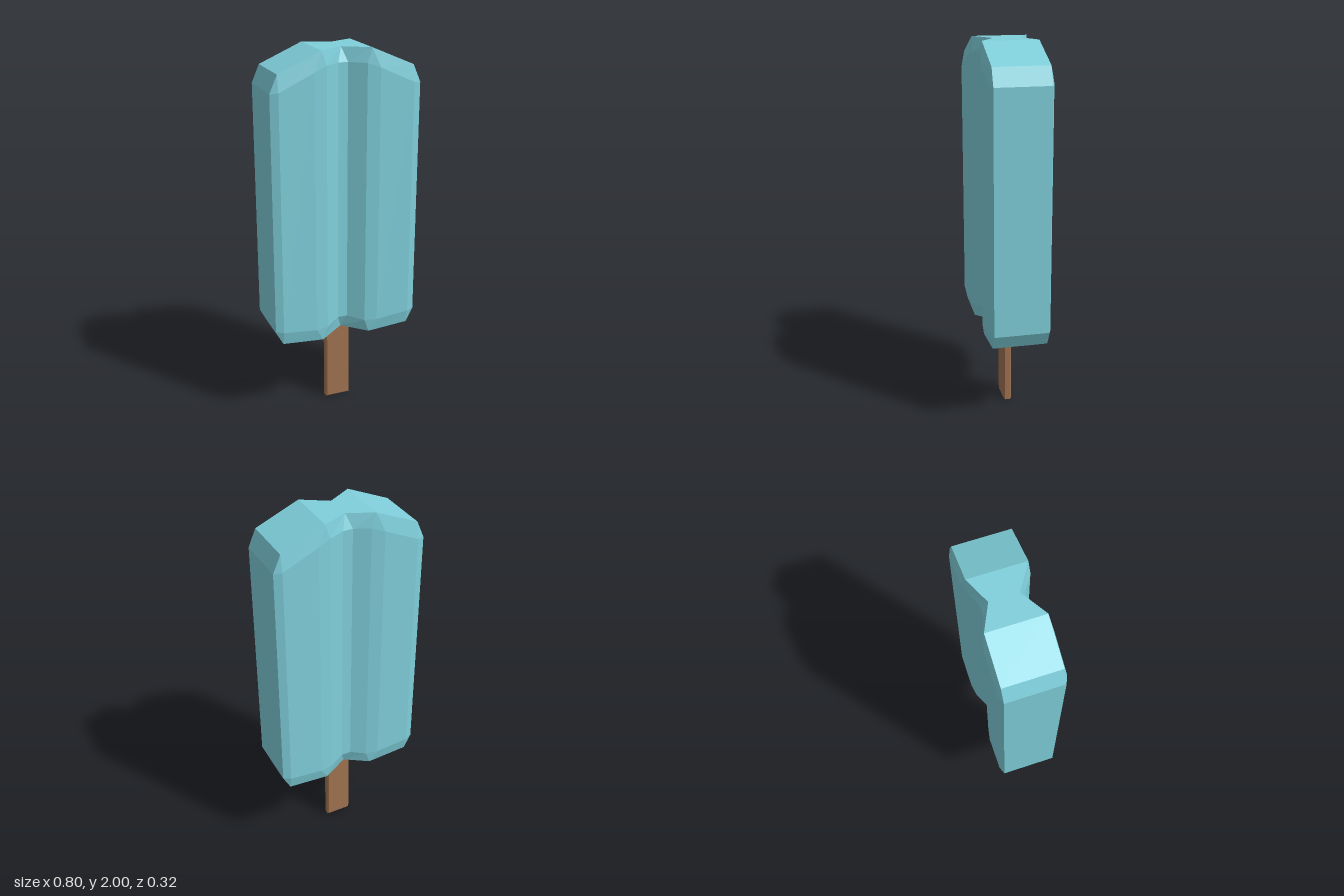
import * as THREE from 'three';

const iceMaterial = new THREE.MeshStandardMaterial({ color: 0x7fcfdb, flatShading: true });
const stickMaterial = new THREE.MeshStandardMaterial({ color: 0xa07350, flatShading: true });

// Outline of half a side, from the outer edge to the central groove.
// Each row: wall x, wall z, wall bottom y, wall top y, cap x, cap z, cap bottom y, cap top y
const HALF = [
  [0.40, 0.145, 0.54, 1.81, 0.36, 0.145, 0.462, 1.902],
  [0.36, 0.161, 0.535, 1.815, 0.36, 0.145, 0.462, 1.902],
  [0.175, 0.161, 0.517, 1.9, 0.133, 0.145, 0.445, 2],
  [0.108, 0.148, 0.517, 1.925, 0.133, 0.145, 0.445, 2],
  [0.026, 0.093, 0.535, 1.927, 0, 0.062, 0.465, 2],
];
const BACK_GROOVE_SHIFT = 0.021; // the rear groove is shallower

// Four loops of points, bottom cap to top cap, running right front -> left front -> left back -> right back
function makeLoops() {
  const columns = [0, 1, 2, 3, 4, 4, 3, 2, 1, 0];
  const loops = [[], [], [], []];
  for (const side of [1, -1]) {
    columns.forEach((row, i) => {
      const [x, z, low, high, capX, capZ, capLow, capHigh] = HALF[row];
      const sx = (i < 5 ? 1 : -1) * side;
      const shift = side < 0 && row === 4 ? BACK_GROOVE_SHIFT : 0;
      const wallZ = side * (z + shift);
      const endZ = side * (capZ + shift);
      loops[0].push(new THREE.Vector3(sx * capX, capLow, endZ));
      loops[1].push(new THREE.Vector3(sx * x, low, wallZ));
      loops[2].push(new THREE.Vector3(sx * x, high, wallZ));
      loops[3].push(new THREE.Vector3(sx * capX, capHigh, endZ));
    });
  }
  return loops;
}

function makeIceGeometry() {
  const loops = makeLoops();
  const n = loops[0].length;
  const positions = [];
  const tri = (a, b, c) => {
    if (new THREE.Triangle(a, b, c).getArea() < 1e-7) return; // collapsed corner
    for (const p of [a, b, c]) positions.push(p.x, p.y, p.z);
  };
  const quad = (a, b, c, d) => { tri(a, b, c); tri(a, c, d); };

  // Bevels and walls
  for (let k = 0; k < 3; k++) {
    const lower = loops[k], upper = loops[k + 1];
    for (let i = 0; i < n; i++) {
      const j = (i + 1) % n;
      quad(lower[j], lower[i], upper[i], upper[j]);
    }
  }
  // Top and bottom, bridged from front to back
  const bottom = loops[0], top = loops[3];
  for (let i = 0; i < n / 2 - 1; i++) {
    const b = n - 1 - i;
    quad(top[i], top[b], top[b - 1], top[i + 1]);
    quad(bottom[i + 1], bottom[b - 1], bottom[b], bottom[i]);
  }

  const geometry = new THREE.BufferGeometry();
  geometry.setAttribute('position', new THREE.Float32BufferAttribute(positions, 3));
  geometry.computeVertexNormals();
  return geometry;
}

function makeStickGeometry() {
  const bevel = 0.007, halfWidth = 0.07 - bevel, topY = 0.52;
  const shape = new THREE.Shape([
    new THREE.Vector2(-halfWidth, bevel),
    new THREE.Vector2(halfWidth, bevel),
    new THREE.Vector2(halfWidth, topY),
    new THREE.Vector2(-halfWidth, topY),
  ]);
  const depth = 0.03;
  return new THREE.ExtrudeGeometry(shape, {
    depth, bevelEnabled: true, bevelSegments: 1, bevelSize: bevel, bevelThickness: bevel,
  }).translate(0, 0, -depth / 2);
}

export function createModel() {
  const group = new THREE.Group();
  group.name = 'icePop';

  const ice = new THREE.Mesh(makeIceGeometry(), iceMaterial);
  ice.name = 'iceBody';

  const stick = new THREE.Mesh(makeStickGeometry(), stickMaterial);
  stick.name = 'stick';

  group.add(ice, stick);
  return group;
}
